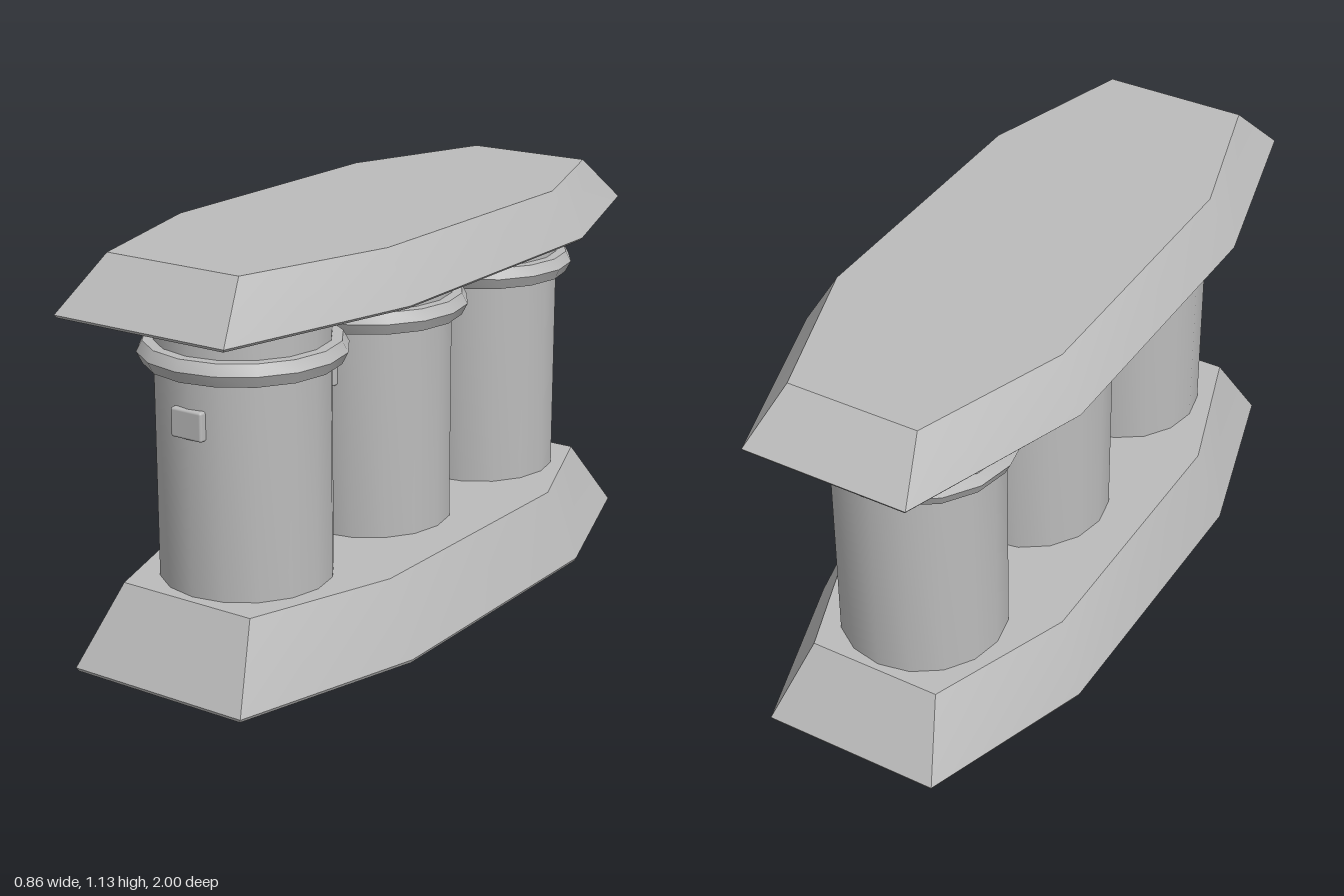
import * as THREE from 'three';
import { toCreasedNormals } from 'three/addons/utils/BufferGeometryUtils.js';
import { RoundedBoxGeometry } from 'three/addons/geometries/RoundedBoxGeometry.js';

// One long octagon, counter-clockwise from above; y slopes from front to back
function octagon({ front, mid, back, y }) {
  const [fx, fz] = front, [mx, mf, mb] = mid, [bx, bz] = back, [yf, yb] = y;
  const right = [[fx, fz], [mx, mf], [mx, mb], [bx, bz]];
  const left = right.map(([x, z]) => [-x, z]).reverse();
  return [...right, ...left].map(([x, z]) => [x, yf + (yb - yf) * (fz - z) / (fz - bz), z]);
}

// Solid lofted through octagonal sections from bottom to top
function loft(sections) {
  const rings = sections.map(octagon), n = 8, index = [];
  for (let r = 0; r < rings.length - 1; r++) {
    for (let i = 0; i < n; i++) {
      const a = r * n + i, b = r * n + (i + 1) % n;
      index.push(a, b, b + n, a, b + n, a + n);
    }
  }
  const top = (rings.length - 1) * n;
  for (let i = 1; i < n - 1; i++) {
    index.push(0, i + 1, i, top, top + i, top + i + 1);
  }
  const geometry = new THREE.BufferGeometry();
  geometry.setAttribute('position', new THREE.Float32BufferAttribute(rings.flat(2), 3));
  geometry.setIndex(index);
  return toCreasedNormals(geometry, 0.52);
}

function lathe(points) {
  const profile = points.map(([r, y]) => new THREE.Vector2(r, y));
  return toCreasedNormals(new THREE.LatheGeometry(profile, 16), 0.52);
}

export function createModel() {
  const model = new THREE.Group();
  model.name = 'columnMonument';
  const stone = new THREE.MeshStandardMaterial({ color: 0xbcbcbc });
  stone.name = 'grey stone';

  const add = (parent, name, geometry) => {
    const mesh = new THREE.Mesh(geometry, stone);
    mesh.name = name;
    parent.add(mesh);
    return mesh;
  };

  // Tapered plinth and overhanging cap, each with a narrow lip underneath
  add(model, 'base', loft([
    { front: [0.27, 0.965], mid: [0.425, 0.42, -0.46], back: [0.255, -0.96], y: [0, 0] },
    { front: [0.275, 0.97], mid: [0.43, 0.42, -0.46], back: [0.26, -0.965], y: [0.01, 0.01] },
    { front: [0.21, 0.84], mid: [0.35, 0.41, -0.42], back: [0.195, -0.83], y: [0.225, 0.21] },
  ]));
  add(model, 'cap', loft([
    { front: [0.265, 0.995], mid: [0.41, 0.42, -0.46], back: [0.235, -0.995], y: [0.98, 0.98] },
    { front: [0.27, 1], mid: [0.418, 0.42, -0.46], back: [0.24, -1], y: [0.988, 0.988] },
    { front: [0.21, 0.86], mid: [0.34, 0.41, -0.42], back: [0.19, -0.86], y: [1.13, 1.12] },
  ]));

  // Three columns, each with a collar and a small front plate
  const shaft = lathe([[0.235, 0.2], [0.235, 0.99]]);
  const collar = lathe([[0.23, 0.818], [0.264, 0.818], [0.28, 0.85], [0.264, 0.88], [0.23, 0.88]]);
  const plate = new RoundedBoxGeometry(0.1, 0.08, 0.03, 2, 0.007);
  [0.578, 0.002, -0.575].forEach((z, i) => {
    const column = new THREE.Group();
    column.name = `column${i + 1}`;
    column.position.z = z;
    add(column, 'shaft', shaft);
    add(column, 'collar', collar);
    add(column, 'plate', plate).position.set(0, 0.7, 0.23);
    model.add(column);
  });

  return model;
}
